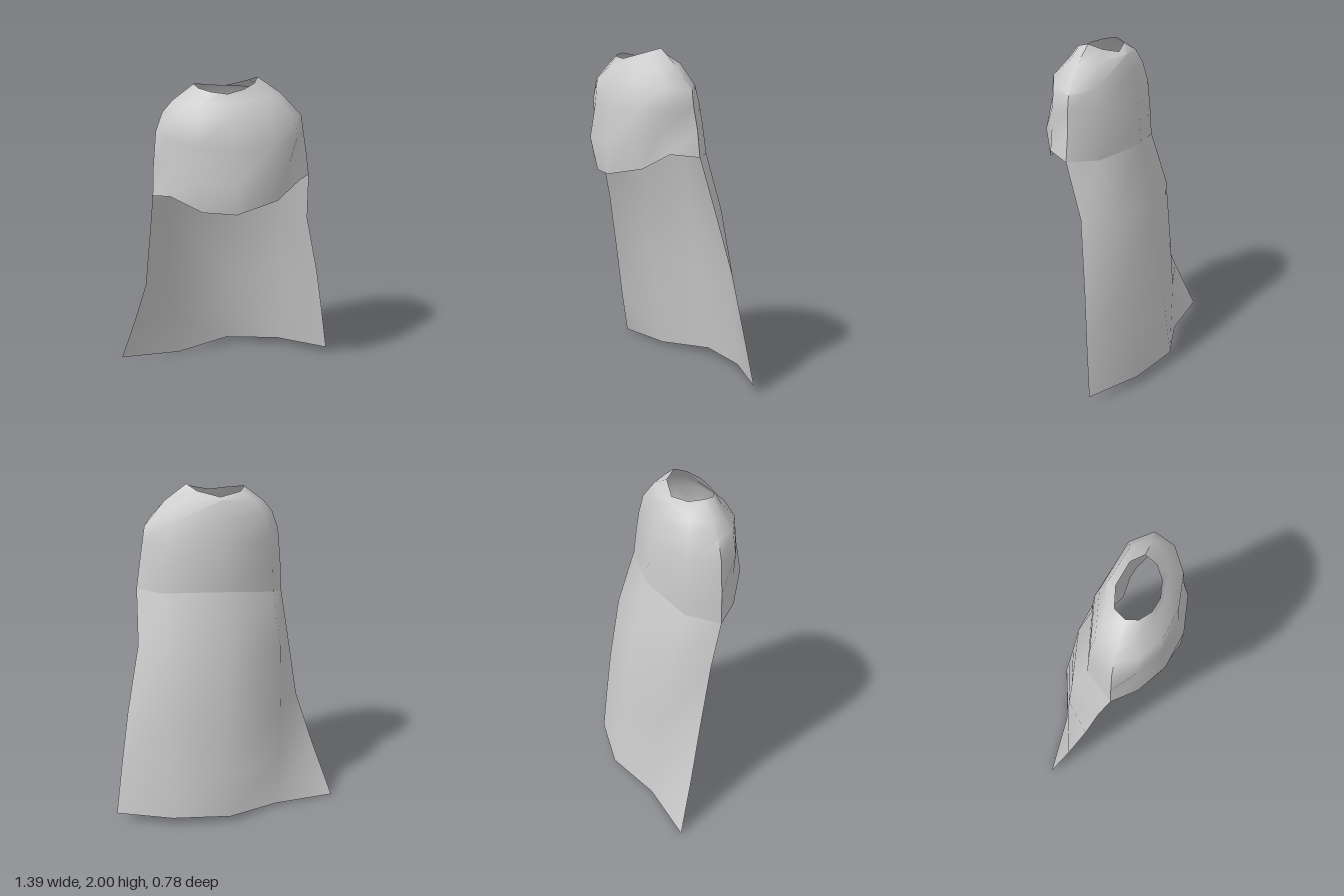
import * as THREE from 'three';
import { mergeVertices, toCreasedNormals } from 'three/addons/utils/BufferGeometryUtils.js';

const V = (p) => new THREE.Vector3(...p);

// Skin rows of points (top row first, each running front - left - back - right)
function skin(rows, name, crease) {
  const n = rows[0].length, index = [];
  for (let r = 0; r < rows.length - 1; r++) {
    for (let c = 0; c < n - 1; c++) {
      const a = r * n + c, b = a + 1, d = a + n, e = d + 1;
      index.push(a, d, b, b, d, e);
    }
  }
  let geo = new THREE.BufferGeometry().setFromPoints(rows.flat());
  geo.setIndex(index);
  geo = toCreasedNormals(mergeVertices(geo, 1e-4), crease);
  const mat = new THREE.MeshStandardMaterial({ color: 0xcccccc, side: THREE.DoubleSide });
  const mesh = new THREE.Mesh(geo, mat);
  mesh.name = name;
  return mesh;
}

// Point on the elliptical quarter from a middle point to a side point
function quarter(mid, side, degrees) {
  const t = THREE.MathUtils.degToRad(degrees);
  const kx = Math.sin(t), kz = 1 - Math.cos(t);
  return new THREE.Vector3(
    THREE.MathUtils.lerp(mid.x, side.x, kx),
    THREE.MathUtils.lerp(mid.y, side.y, (kx + kz) / 2),
    THREE.MathUtils.lerp(mid.z, side.z, kz));
}

// Closed ring through front, left, back and right points
function ring([f, l, b, r]) {
  [f, l, b, r] = [f, l, b, r].map(V);
  return [
    f, quarter(f, l, 30), quarter(f, l, 60), l, quarter(b, l, 48),
    b, quarter(b, r, 48), r, quarter(f, r, 60), quarter(f, r, 30), f.clone(),
  ];
}

export function createModel() {
  const group = new THREE.Group();
  group.name = 'cloak';

  // Mantle: neck opening, shoulders and draped chest
  const mantle = [
    [[-0.02, 1.94, 0.24], [0.16, 2.0, 0.1], [-0.02, 1.93, 0], [-0.2, 1.97, 0.11]],
    [[-0.01, 1.9, 0.26], [0.29, 1.91, 0.1], [-0.02, 1.92, -0.05], [-0.32, 1.88, 0.11]],
    [[0, 1.83, 0.34], [0.42, 1.77, 0.08], [-0.02, 1.82, -0.09], [-0.38, 1.81, 0.11]],
    [[0.01, 1.65, 0.35], [0.435, 1.68, 0.08], [-0.01, 1.68, -0.125], [-0.42, 1.7, 0.11]],
    [[0.02, 1.46, 0.39], [0.458, 1.55, 0.07], [-0.01, 1.55, -0.14], [-0.44, 1.5, 0.11]],
    [[0.02, 1.28, 0.385], [0.48, 1.4, 0.07], [0, 1.4, -0.155], [-0.45, 1.31, 0.11]],
  ].map(ring);

  // Gathered chest fold and the uneven front hem
  const [fold, hem] = mantle.slice(-2);
  for (const c of [2, 8]) fold[c].set(fold[c].x * 0.83, 1.53, 0.25);
  hem[1].set(0.26, 1.33, 0.31);
  hem[2].set(0.4, 1.42, 0.22);
  hem[8].set(-0.35, 1.35, 0.24);
  hem[9].set(-0.17, 1.28, 0.33);
  group.add(skin(mantle, 'mantle', 0.95));

  // Cape: hangs from the back of the mantle and flares to a pleated hem
  const cape = [
    [[0.5, 1.08, -0.03], [0.37, 1.06, -0.19], [0, 1.03, -0.25], [-0.35, 1.04, -0.17], [-0.475, 1.04, 0.04]],
    [[0.59, 0.68, -0.1], [0.38, 0.64, -0.26], [0.01, 0.6, -0.31], [-0.35, 0.63, -0.21], [-0.515, 0.65, -0.04]],
    [[0.645, 0.36, -0.14], [0.38, 0.34, -0.3], [0.02, 0.32, -0.352], [-0.34, 0.32, -0.24], [-0.605, 0.32, -0.14]],
    [[0.695, 0.05, -0.18], [0.38, 0.05, -0.335], [0.03, 0.04, -0.395], [-0.31, 0.01, -0.275], [-0.7, 0, -0.25]],
  ].map((row) => row.map(V));
  group.add(skin([hem.slice(3, 8), ...cape], 'cape', 0.95));

  return group;
}
